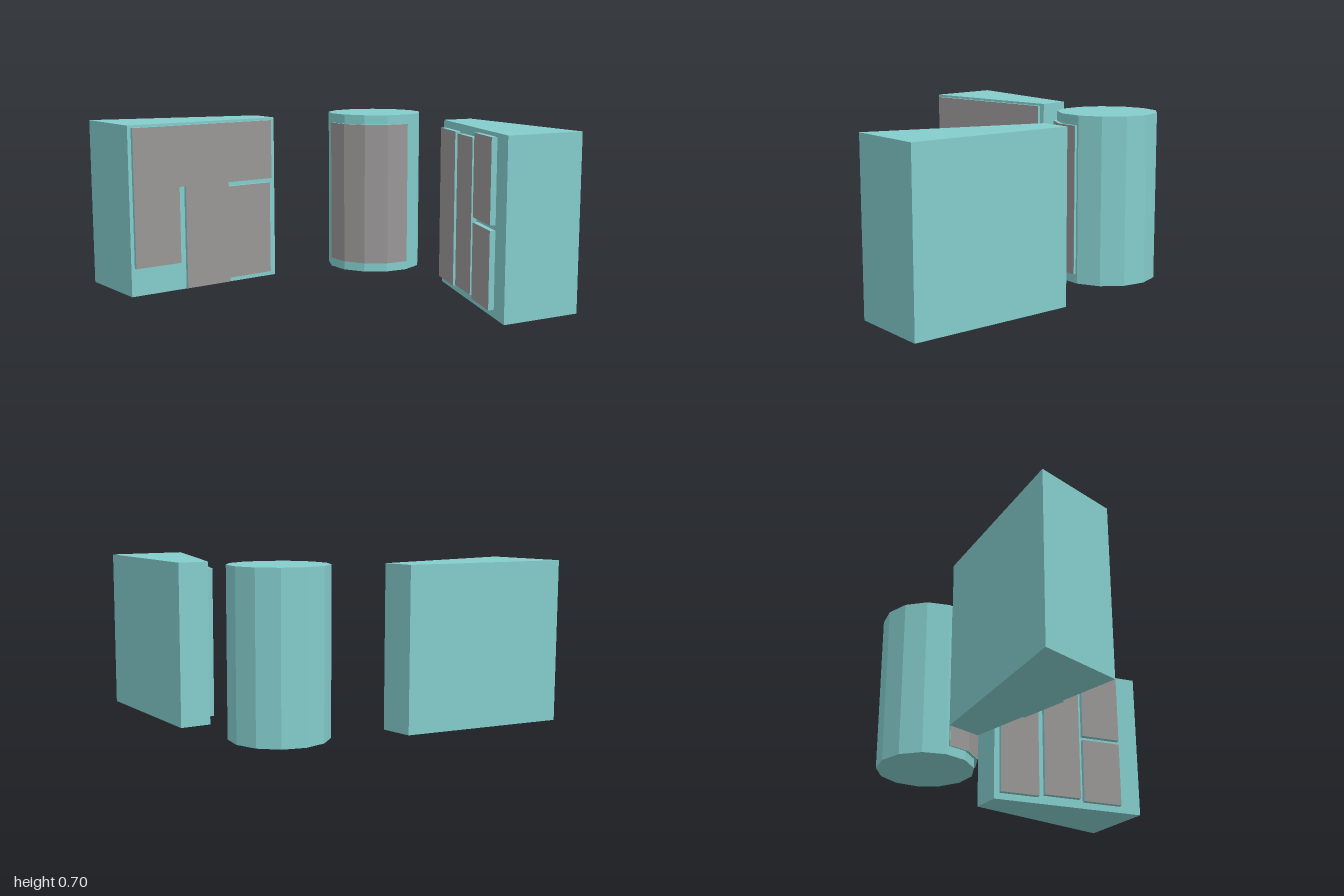
import * as THREE from 'three';

const teal = new THREE.MeshStandardMaterial({ color: 0x84cccc, flatShading: true });
const grey = new THREE.MeshStandardMaterial({ color: 0x999696, flatShading: true });

function add(parent, name, geometry, material) {
  const mesh = new THREE.Mesh(geometry, material);
  mesh.name = name;
  parent.add(mesh);
  return mesh;
}

// Upright prism over a footprint of [x, z] corners
function prism(corners, y0, y1) {
  const shape = new THREE.Shape(corners.map(([x, z]) => new THREE.Vector2(x, -z)));
  const geo = new THREE.ExtrudeGeometry(shape, { depth: y1 - y0, bevelEnabled: false });
  return geo.rotateX(-Math.PI / 2).translate(0, y0, 0);
}

// Wedge block whose inner face runs from corner a to corner b (a on the left as
// seen from the centre); panels are [start, end, bottom, top] along that face
function wedge(name, a, b, rest, thickness, panels) {
  const group = new THREE.Group();
  group.name = name;
  add(group, 'block', prism([a, b, ...rest], 0, 0.69), teal);

  const wall = new THREE.Group();
  wall.name = 'panels';
  wall.position.set(a[0], 0, a[1]);
  wall.rotation.y = -Math.atan2(b[1] - a[1], b[0] - a[0]);
  for (const [s0, s1, y0, y1] of panels) {
    const box = new THREE.BoxGeometry(s1 - s0, y1 - y0, thickness);
    // only the front of a panel is grey
    const panel = add(wall, 'panel', box, [teal, teal, teal, teal, grey, teal]);
    panel.position.set((s0 + s1) / 2, (y0 + y1) / 2, thickness / 2);
  }
  group.add(wall);
  return group;
}

// Thirteen-sided pillar with a curved panel over four of its front facets
function pillar() {
  const group = new THREE.Group();
  group.name = 'pillar';
  const sides = 13, step = (Math.PI * 2) / sides, r = 0.205;
  const body = new THREE.CylinderGeometry(r, r, 0.685, sides, 1, false, Math.PI / 2);
  add(group, 'pillarBody', body.translate(0.01, 0.3575, -0.35), teal);

  const cx = 0.016, cz = -0.337, y0 = 0.055, y1 = 0.66;
  const sector = [[cx, cz]];
  for (let i = 1; i <= 5; i++) {
    sector.push([cx + r * Math.cos(i * step), cz + r * Math.sin(i * step)]);
  }
  add(group, 'curvedPanelBacking', prism(sector, y0, y1), teal);
  const skin = new THREE.CylinderGeometry(r + 0.002, r + 0.002, y1 - y0, 4, 1, true,
    Math.PI / 2 - 5 * step, 4 * step);
  add(group, 'curvedPanelFront', skin.translate(cx, (y0 + y1) / 2, cz), grey);
  return group;
}

export function createModel() {
  const model = new THREE.Group();
  model.name = 'panelledBlocks';

  model.add(wedge('rightWedge', [-0.71, 0.55], [-0.34, -0.03], [[-0.46, -0.105], [-1, 0.37]], 0.014, [
    [0.015, 0.218, 0.115, 0.68],
    [0.218, 0.665, 0.43, 0.68],
    [0.247, 0.45, 0.003, 0.43],
    [0.45, 0.656, 0.02, 0.412],
  ]));

  model.add(wedge('leftWedge', [0.385, -0.15], [0.775, 0.45], [[1, 0.195], [0.475, -0.25]], 0.022, [
    [0.025, 0.208, 0.03, 0.66],
    [0.236, 0.41, 0.04, 0.655],
    [0.428, 0.612, 0.35, 0.675],
    [0.428, 0.612, 0.03, 0.33],
  ]));

  model.add(pillar());
  return model;
}
